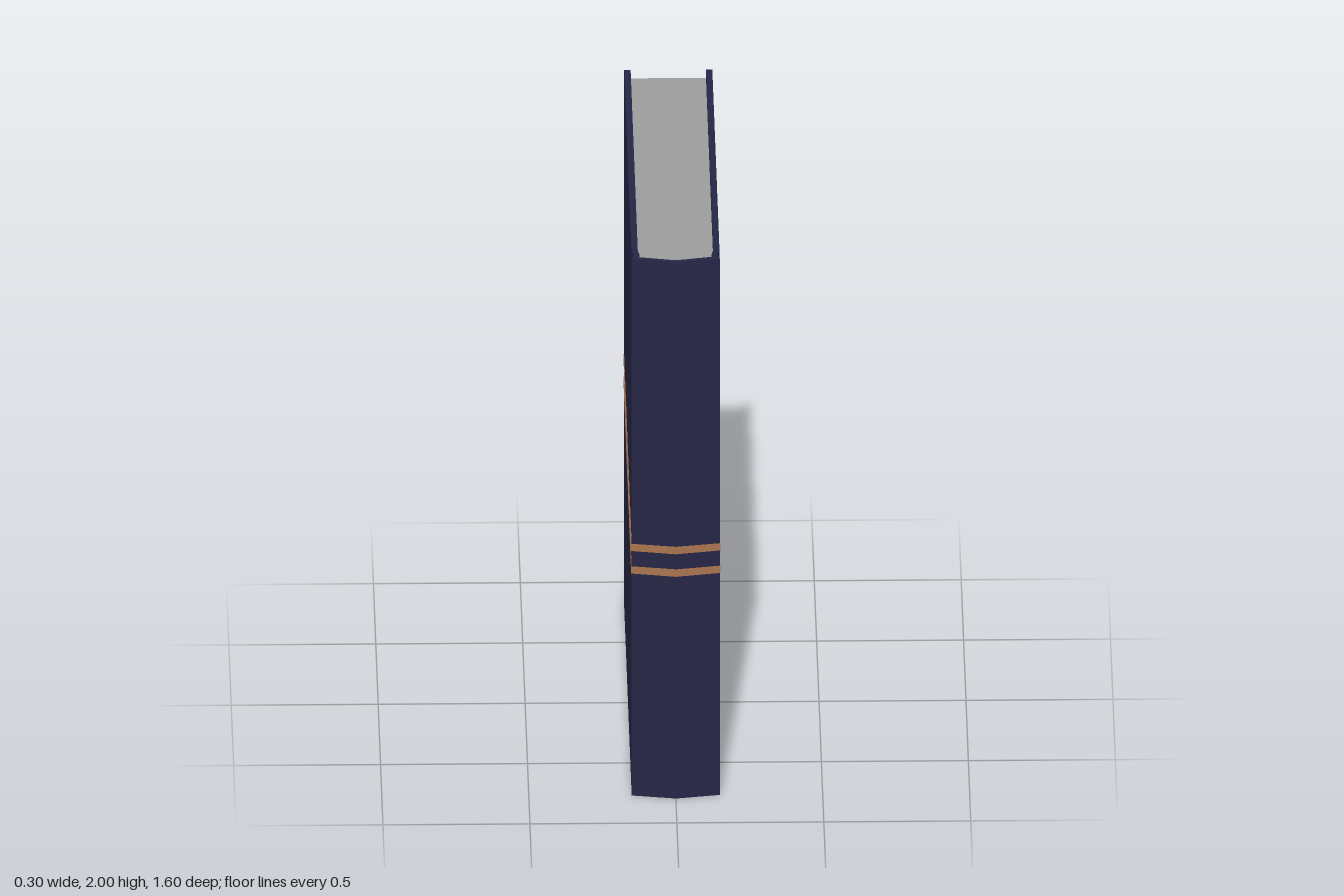
import * as THREE from 'three';

const navy = new THREE.MeshStandardMaterial({ color: 0x252546 });
navy.name = 'navy cloth';
const copper = new THREE.MeshStandardMaterial({ color: 0xa8744e });
copper.name = 'copper foil';
const paper = new THREE.MeshStandardMaterial({ color: 0x9c9c9c });
paper.name = 'grey paper';

// Extrudes a plan outline of [x, z] points upward from y0 to y1
function extrudePlan(name, points, y0, y1, material) {
  const shape = new THREE.Shape(points.map(([x, z]) => new THREE.Vector2(x, -z)));
  const geometry = new THREE.ExtrudeGeometry(shape, { depth: y1 - y0, bevelEnabled: false });
  geometry.rotateX(-Math.PI / 2).translate(0, y0, 0);
  const mesh = new THREE.Mesh(geometry, material);
  mesh.name = name;
  return mesh;
}

// Half outlines from the fore edge, past the hinge groove, to the spine corner
const outerHalf = [[0.15, -0.8], [0.15, -0.7 + 1.4], [0.14, 0.735], [0.15, 0.77]];
const innerHalf = [[0.128, -0.8], [0.128, 0.7], [0.122, 0.735], [0.128, 0.752]];
const mirror = (half) => half.map(([x, z]) => [-x, z]).reverse();
const fullPath = (half, peakZ) => [...half, [0, peakZ], ...mirror(half)];

export function createModel() {
  const book = new THREE.Group();
  book.name = 'book';

  // Cover: two boards joined by a ridged spine
  const outer = fullPath(outerHalf, 0.798);
  const inner = fullPath(innerHalf, 0.78);
  book.add(extrudePlan('cover', [...outer, ...inner.slice().reverse()], 0, 2, navy));

  // Page block, set in from the cover edges
  const pages = new THREE.Mesh(new THREE.BoxGeometry(0.256, 1.96, 1.505), paper);
  pages.name = 'pages';
  pages.position.set(0, 1, -0.0225);
  book.add(pages);

  // Thin foil bands around the cover, folded over one fore edge
  const t = 0.002;
  const foilOuter = outer.map(([x, z]) => [x + Math.sign(x) * t, Math.abs(x) < 0.01 ? z + t : z]);
  foilOuter[foilOuter.length - 1][1] -= t;
  const fold = [[-0.128, -0.8 - t], [-0.128, -0.8]];
  const outline = [...foilOuter, ...fold, ...outer.slice().reverse()];
  for (const [name, y] of [['upperBand', 0.912], ['lowerBand', 0.828]]) {
    book.add(extrudePlan(name, outline, y, y + 0.027, copper));
  }
  return book;
}
